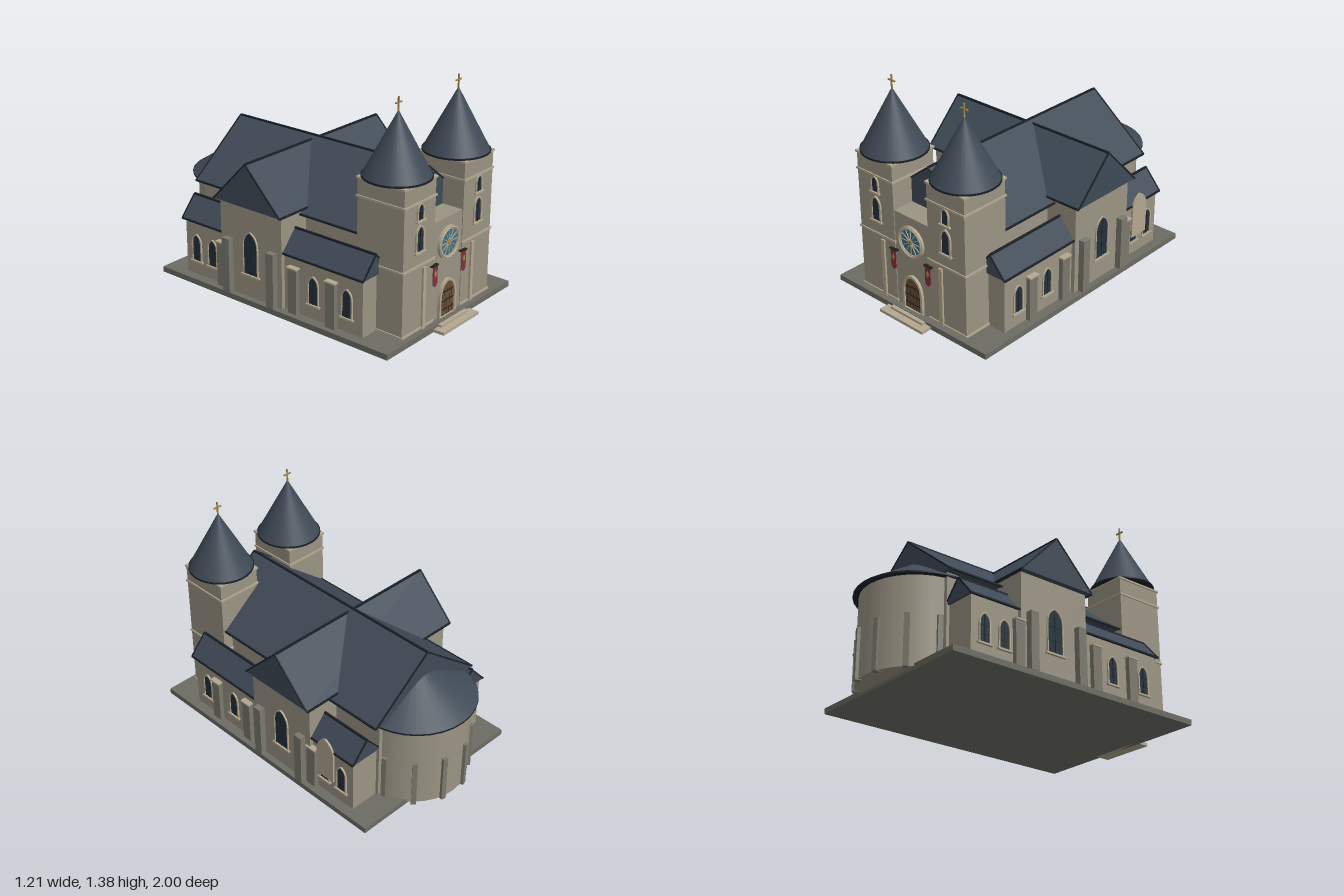
import * as THREE from 'three';

const mat = (color, opts = {}) => new THREE.MeshStandardMaterial({ color, ...opts });
const M = {
  stone: mat(0x9a9484), trim: mat(0xb3a78f), buttress: mat(0x7a786d), base: mat(0x6c6c64),
  roof: mat(0x3f4a56), edge: mat(0x1b2128), glass: mat(0x23323c), rose: mat(0x3f7185),
  wood: mat(0x6b4f34), iron: mat(0x24211f), red: mat(0x84303a), gold: mat(0xa8884a),
};

function add(parent, name, geometry, material, x = 0, y = 0, z = 0) {
  const mesh = new THREE.Mesh(geometry, material);
  mesh.name = name;
  mesh.position.set(x, y, z);
  parent.add(mesh);
  return mesh;
}

// Box given by its limits on each axis
const block = (parent, name, material, x0, x1, y0, y1, z0, z1) =>
  add(parent, name, new THREE.BoxGeometry(x1 - x0, y1 - y0, z1 - z0), material,
    (x0 + x1) / 2, (y0 + y1) / 2, (z0 + z1) / 2);

function group(parent, name, x = 0, y = 0, z = 0, turn = 0) {
  const g = new THREE.Group();
  g.name = name;
  g.position.set(x, y, z);
  g.rotation.y = turn;
  parent.add(g);
  return g;
}

const extrude = (shape, depth) =>
  new THREE.ExtrudeGeometry(shape, { depth, bevelEnabled: false, curveSegments: 10 });

// Pointed arch standing on y = 0; bulge rounds the head
function arch(w, h, y0 = 0, bulge = 0.75, Type = THREE.Shape) {
  const a = w / 2, spring = y0 + h - w * 0.85;
  const s = new Type();
  s.moveTo(-a, y0);
  s.lineTo(a, y0);
  s.lineTo(a, spring);
  s.quadraticCurveTo(a, spring + w * 0.85 * bulge, 0, y0 + h);
  s.quadraticCurveTo(-a, spring + w * 0.85 * bulge, -a, spring);
  s.lineTo(-a, y0);
  return s;
}

function archFrame(w, h, t, depth, bulge) {
  const s = arch(w + 2 * t, h + t, 0, bulge);
  s.holes.push(arch(w, h - 0.002, 0.002, bulge, THREE.Path));
  return extrude(s, depth);
}

// Arched window facing +z before turning
function archWindow(parent, x, y, z, w, h, turn = 0, t = 0.012) {
  const g = group(parent, 'window', x, y, z, turn);
  add(g, 'glass', extrude(arch(w, h), 0.004), M.glass);
  add(g, 'windowFrame', archFrame(w, h, t, 0.01), M.trim);
  block(g, 'mullion', M.edge, -0.0015, 0.0015, 0, h * 0.97, 0, 0.007);
  for (const f of [0.3, 0.6])
    block(g, 'glazingBar', M.edge, -w / 2, w / 2, h * f - 0.001, h * f + 0.001, 0, 0.006);
  block(g, 'sill', M.trim, -w / 2 - 0.018, w / 2 + 0.018, -0.008, 0.003, 0, 0.016);
}

// Solid gable roof along local z, with dark eaves, ridge and gable edges
function gableRoof(parent, name, x, z, half, y0, y1, length, turn = 0) {
  const g = group(parent, name, x, y0, z, turn);
  const rise = y1 - y0, L = length / 2;
  const s = new THREE.Shape([new THREE.Vector2(-half, 0), new THREE.Vector2(half, 0), new THREE.Vector2(0, rise)]);
  add(g, 'roofBody', extrude(s, length), M.roof, 0, 0, -L);
  block(g, 'ridge', M.edge, -0.006, 0.006, rise - 0.006, rise + 0.005, -L, L);
  for (const side of [-1, 1]) {
    const e = side * half;
    block(g, 'eave', M.edge, e - 0.005, e + 0.005, -0.005, 0.005, -L, L);
    for (const end of [-1, 1]) {
      const bar = add(g, 'gableEdge', new THREE.BoxGeometry(Math.hypot(half, rise), 0.008, 0.008), M.edge,
        e / 2, rise / 2, end * L);
      bar.rotation.z = -side * Math.atan2(rise, half);
    }
  }
}

function tower(parent, side) {
  const g = group(parent, side > 0 ? 'leftTower' : 'rightTower', side * 0.28, 0, 0.73);
  block(g, 'towerWall', M.stone, -0.143, 0.143, 0.035, 0.925, -0.16, 0.16);
  for (const y of [0.045, 0.437, 0.815, 0.922])
    block(g, 'stringCourse', M.trim, -0.15, 0.15, y - 0.006, y + 0.006, -0.167, 0.167);
  add(g, 'eaveDisc', new THREE.CylinderGeometry(0.2, 0.2, 0.01, 32), M.edge, 0, 0.933, 0);
  add(g, 'spire', new THREE.ConeGeometry(0.195, 0.367, 32), M.roof, 0, 1.12, 0);
  block(g, 'crossPost', M.gold, -0.004, 0.004, 1.29, 1.378, -0.004, 0.004);
  block(g, 'crossArm', M.gold, -0.027, 0.027, 1.34, 1.348, -0.004, 0.004);
  archWindow(g, 0, 0.523, 0.16, 0.058, 0.148);
  archWindow(g, 0, 0.708, 0.16, 0.046, 0.096, 0, 0.009);
  const px = -side * 0.046;
  block(g, 'pilaster', M.trim, px - 0.013, px + 0.013, 0.035, 0.415, 0.155, 0.172);
}

function roseWindow(parent) {
  const g = group(parent, 'roseWindow', 0, 0.488, 0.885);
  const disc = add(g, 'roseGlass', new THREE.CylinderGeometry(0.082, 0.082, 0.01, 32), M.rose, 0, 0, 0.003);
  disc.rotation.x = Math.PI / 2;
  const ring = new THREE.Shape().absarc(0, 0, 0.1, 0, Math.PI * 2);
  ring.holes.push(new THREE.Path().absarc(0, 0, 0.079, 0, Math.PI * 2));
  add(g, 'roseSurround', new THREE.ExtrudeGeometry(ring, { depth: 0.016, bevelEnabled: false, curveSegments: 32 }), M.trim);
  add(g, 'roseMoulding', new THREE.TorusGeometry(0.089, 0.006, 8, 40), M.trim, 0, 0, 0.016);
  for (let i = 0; i < 12; i++) {
    const a = i * Math.PI / 6;
    const spoke = add(g, 'spoke', new THREE.BoxGeometry(0.07, 0.0035, 0.006), M.trim,
      Math.cos(a) * 0.045, Math.sin(a) * 0.045, 0.01);
    spoke.rotation.z = a;
  }
  const hub = add(g, 'hub', new THREE.CylinderGeometry(0.014, 0.014, 0.01, 16), M.gold, 0, 0, 0.011);
  hub.rotation.x = Math.PI / 2;
}

function door(parent) {
  const g = group(parent, 'door', 0, 0.035, 0.885);
  add(g, 'doorLeaves', extrude(arch(0.13, 0.215, 0, 0.9), 0.008), M.wood);
  add(g, 'doorFrame', archFrame(0.13, 0.215, 0.016, 0.018, 0.9), M.trim);
  for (let i = -2; i <= 2; i++)
    block(g, 'plankGap', M.iron, i * 0.024 - 0.001, i * 0.024 + 0.001, 0, 0.165, 0, 0.009);
  for (const y of [0.04, 0.095, 0.15])
    block(g, 'hingeStrap', M.iron, -0.063, 0.063, y - 0.003, y + 0.003, 0, 0.011);
}

function banner(parent, x) {
  const g = group(parent, 'banner', x, 0.388, 0.902);
  const points = (list) => new THREE.Shape(list.map(([a, b]) => new THREE.Vector2(a, b)));
  add(g, 'cloth', extrude(points([[-0.021, 0], [-0.021, -0.11], [0, -0.128], [0.021, -0.11], [0.021, 0]]), 0.004), M.red);
  add(g, 'diamond', extrude(points([[0, -0.022], [-0.011, -0.046], [0, -0.07], [0.011, -0.046]]), 0.006), M.gold);
  block(g, 'bannerRod', M.iron, -0.03, 0.03, 0, 0.007, -0.015, 0.006);
}

function apse(parent) {
  const g = group(parent, 'apse', 0, 0, -0.625);
  add(g, 'apseWall', new THREE.CylinderGeometry(0.337, 0.337, 0.54, 32), M.stone, 0, 0.29, 0);
  add(g, 'apseEave', new THREE.CylinderGeometry(0.372, 0.372, 0.01, 32), M.edge, 0, 0.562, 0);
  add(g, 'apseRoof', new THREE.ConeGeometry(0.37, 0.238, 32), M.roof, 0, 0.686, 0);
  for (let i = 0; i < 6; i++) {
    const a = Math.PI * (i + 0.5) / 6;
    const b = add(g, 'apseButtress', new THREE.BoxGeometry(0.03, 0.31, 0.04), M.buttress,
      Math.cos(a) * 0.335, 0.17, -Math.sin(a) * 0.335);
    b.rotation.y = a + Math.PI / 2;
  }
}

// Aisle, its windows and buttresses, and the transept end on one side
function sideWing(parent, side) {
  const g = group(parent, side > 0 ? 'leftWing' : 'rightWing');
  const turn = side * Math.PI / 2;
  const slab = (name, m, x0, x1, y0, y1, z0, z1) =>
    block(g, name, m, Math.min(side * x0, side * x1), Math.max(side * x0, side * x1), y0, y1, z0, z1);
  slab('aisleWall', M.stone, 0.34, 0.543, 0.035, 0.39, -0.67, 0.71);
  gableRoof(g, 'aisleRoof', side * 0.449, 0.02, 0.111, 0.388, 0.515, 1.41);
  for (const z of [0.6, 0.355, -0.445, -0.58])
    archWindow(g, side * 0.543, 0.125, z, 0.064, 0.17, turn, 0.009);
  for (const z of [0.497, 0.215, -0.352]) {
    slab('aisleButtress', M.buttress, 0.53, 0.572, 0.035, 0.315, z - 0.032, z + 0.032);
    slab('buttressCap', M.trim, 0.53, 0.58, 0.315, 0.325, z - 0.037, z + 0.037);
  }
  for (const z of [0.072, -0.278])
    slab('transeptButtress', M.buttress, 0.55, 0.607, 0.035, 0.38, z - 0.028, z + 0.028);
  archWindow(g, side * 0.568, 0.18, -0.105, 0.104, 0.268, turn, 0.007);
}

export function createModel() {
  const model = new THREE.Group();
  model.name = 'church';

  // Ground slab and entrance steps
  block(model, 'baseSlab', M.base, -0.605, 0.605, 0, 0.035, -0.83, 0.93);
  block(model, 'lowerStep', M.trim, -0.175, 0.175, 0, 0.018, 0.9, 1);
  block(model, 'upperStep', M.trim, -0.132, 0.132, 0.018, 0.032, 0.9, 0.955);

  // Nave and transept
  block(model, 'naveWall', M.stone, -0.355, 0.355, 0.035, 0.59, -0.69, 0.74);
  gableRoof(model, 'naveRoof', 0, 0.017, 0.408, 0.582, 0.905, 1.456);
  block(model, 'transeptWall', M.stone, -0.568, 0.568, 0.035, 0.615, -0.345, 0.135);
  gableRoof(model, 'transeptRoof', 0, -0.105, 0.26, 0.615, 0.883, 1.206, Math.PI / 2);
  for (const side of [-1, 1]) sideWing(model, side);
  apse(model);

  // Pointed stone panel standing against one aisle
  const panel = add(model, 'stonePanel', extrude(arch(0.135, 0.285), 0.012), M.trim, 0.56, 0.175, -0.472);
  panel.rotation.y = Math.PI / 2;

  // West front
  block(model, 'facadeWall', M.stone, -0.15, 0.15, 0.035, 0.64, 0.73, 0.885);
  for (const side of [-1, 1]) {
    tower(model, side);
    banner(model, side * 0.14);
  }
  roseWindow(model);
  door(model);
  return model;
}
